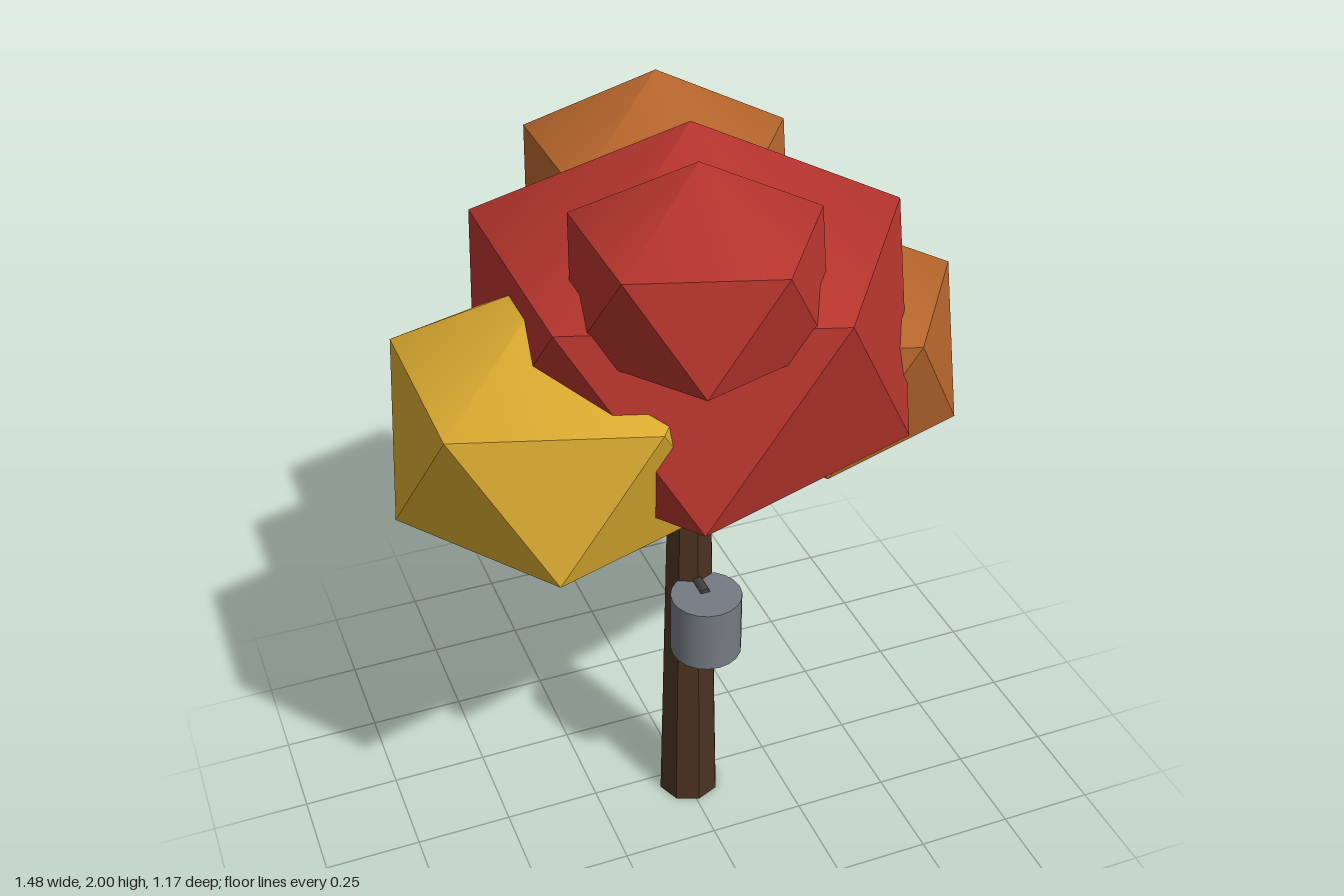
import * as THREE from 'three';
import { toCreasedNormals } from 'three/addons/utils/BufferGeometryUtils.js';

const makeMaterial = (name, color) => {
  const m = new THREE.MeshStandardMaterial({ color });
  m.name = name;
  return m;
};

export function createModel() {
  const tree = new THREE.Group();
  tree.name = 'autumnTree';
  const red = makeMaterial('red leaves', 0xb5342d);
  const orange = makeMaterial('orange leaves', 0xb5652c);
  const yellow = makeMaterial('yellow leaves', 0xd9a930);
  const bark = makeMaterial('bark', 0x4a3222);
  const metal = makeMaterial('metal', 0x747b82);
  const darkMetal = makeMaterial('dark metal', 0x45413e);

  const add = (name, geometry, material, x, y, z) => {
    const mesh = new THREE.Mesh(geometry, material);
    mesh.name = name;
    mesh.position.set(x, y, z);
    tree.add(mesh);
    return mesh;
  };
  const crease = THREE.MathUtils.degToRad(40);

  // Foliage clump: icosahedron standing on a corner, slightly squashed, with smooth caps
  const tilt = -Math.atan(2 / (1 + Math.sqrt(5)));
  const clump = (name, material, radius, x, y, z) => {
    const g = new THREE.IcosahedronGeometry(radius).rotateZ(tilt).scale(1, 0.85, 1);
    add(name, toCreasedNormals(g, crease), material, x, y, z);
  };
  clump('mainCrown', red, 0.59, 0.007, 1.46, 0.042);
  clump('topCrown', red, 0.318, -0.084, 1.73, 0.315);
  clump('rightCrown', yellow, 0.434, -0.352, 1.32, 0.13);
  clump('leftCrown', orange, 0.409, 0.37, 1.276, -0.05);
  clump('backCrown', orange, 0.368, 0.046, 1.64, -0.273);

  // Tapered eight-sided trunk, running up into the crown
  const trunk = new THREE.CylinderGeometry(0.05, 0.082, 1.3, 8);
  add('trunk', toCreasedNormals(trunk, crease), bark, 0.007, 0.65, 0.042);

  // Sap bucket hanging on the front of the trunk, with its spout
  add('bucket', new THREE.CylinderGeometry(0.09, 0.09, 0.17, 20), metal, 0.007, 0.66, 0.16);
  const spout = new THREE.CylinderGeometry(0.013, 0.013, 0.09, 8).rotateX(Math.PI / 2);
  add('spout', spout, darkMetal, 0.007, 0.744, 0.11);

  return tree;
}
